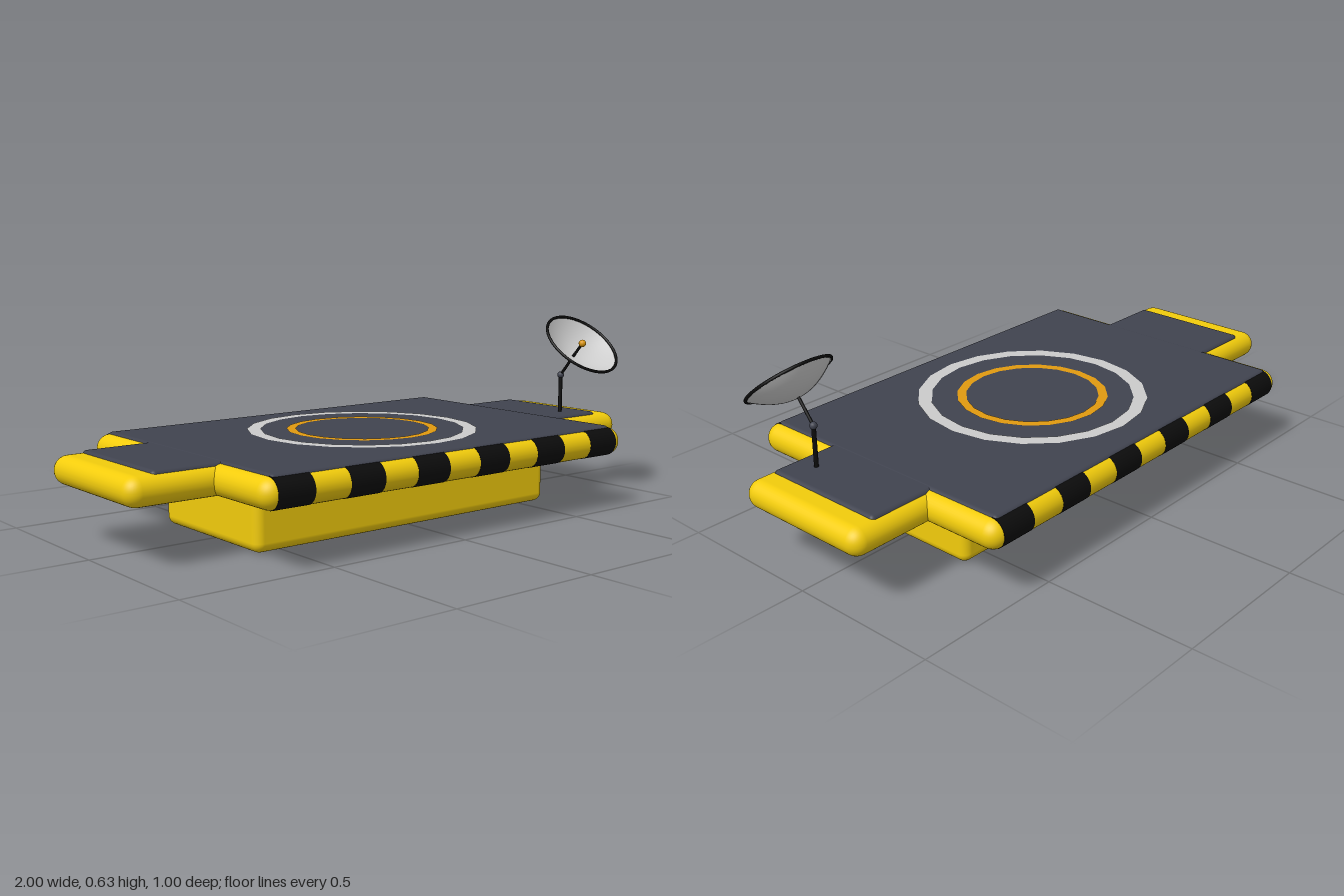
import * as THREE from 'three';
import { RoundedBoxGeometry } from 'three/addons/geometries/RoundedBoxGeometry.js';

const mat = (color, side = THREE.FrontSide) => new THREE.MeshStandardMaterial({ color, side });

export function createModel() {
  const model = new THREE.Group();
  model.name = 'landingPlatform';
  const yellow = mat(0xf2cc0c), slate = mat(0x40434f), black = mat(0x0c0c0c);
  const orange = mat(0xe09a10), grey = mat(0xcccccc, THREE.DoubleSide);

  const add = (name, geometry, material, x = 0, y = 0, z = 0, parent = model) => {
    const mesh = new THREE.Mesh(geometry, material);
    mesh.name = name;
    mesh.position.set(x, y, z);
    parent.add(mesh);
    return mesh;
  };
  // Rounded slab given by its width, depth and vertical extent
  const slab = (name, w, d, y0, y1, r, material) =>
    add(name, new RoundedBoxGeometry(w, y1 - y0, d, 4, r), material, 0, (y0 + y1) / 2, 0);
  // Straight rod between two points
  const rod = (name, a, b, r, material, parent = model) => {
    const dir = b.clone().sub(a);
    const m = add(name, new THREE.CylinderGeometry(r, r, dir.length(), 12), material, 0, 0, 0, parent);
    m.position.copy(a).add(b).multiplyScalar(0.5);
    m.quaternion.setFromUnitVectors(new THREE.Vector3(0, 1, 0), dir.normalize());
    return m;
  };

  // Hull: lower body, main deck and the cross deck forming both wings
  slab('lowerBody', 1.2, 0.52, 0, 0.24, 0.03, yellow);
  slab('mainDeck', 1.46, 1, 0.18, 0.275, 0.047, yellow);
  slab('wingDeck', 2, 0.49, 0.181, 0.272, 0.045, yellow);

  // Dark walking surface
  slab('mainDeckSurface', 1.38, 0.94, 0.24, 0.281, 0.015, slate);
  slab('wingDeckSurface', 1.82, 0.43, 0.24, 0.28, 0.015, slate);

  // Hazard stripes wrapped round the front and back edges
  for (const side of [1, -1]) {
    for (let i = 0; i < 6; i++) {
      const geo = new THREE.CylinderGeometry(0.0485, 0.0485, 0.125, 20, 1, false, 0, Math.PI);
      geo.rotateZ(Math.PI / 2).rotateX(0);
      // Half cylinder now bulges up; turn it to bulge outwards
      geo.rotateX(side * Math.PI / 2);
      add('hazardStripe', geo, black, -0.625 + i * 0.25, 0.2275, side * 0.4525);
    }
  }

  // Landing target rings
  const ring = (name, inner, outer, material) =>
    add(name, new THREE.RingGeometry(inner, outer, 20).rotateX(-Math.PI / 2), material, 0, 0.283, 0);
  ring('outerTargetRing', 0.335, 0.38, grey);
  ring('innerTargetRing', 0.22, 0.25, orange);

  // Antenna mast with ball joint and angled arm
  const joint = new THREE.Vector3(0.81, 0.413, 0.135);
  rod('mast', new THREE.Vector3(0.81, 0.27, 0.135), joint, 0.007, black);
  add('mastJoint', new THREE.SphereGeometry(0.012, 16, 12), slate, ...joint.toArray());
  rod('dishArm', joint, new THREE.Vector3(0.81, 0.487, 0.195), 0.005, black);

  // Dish tilted forwards: its rim centre is the group's origin
  const dish = new THREE.Group();
  dish.name = 'dish';
  dish.position.set(0.81, 0.531, 0.232);
  dish.rotation.x = 0.702;
  model.add(dish);
  const R = 0.139, depth = 0.06, profile = [];
  for (let i = 0; i <= 12; i++) {
    const t = i / 12;
    profile.push(new THREE.Vector2(R * t, depth * (t * t - 1)));
  }
  add('dishBowl', new THREE.LatheGeometry(profile, 40), grey, 0, 0, 0, dish);
  add('dishRim', new THREE.TorusGeometry(R, 0.005, 8, 40).rotateX(Math.PI / 2), black, 0, 0, 0, dish);
  rod('feedRod', new THREE.Vector3(0, -depth, 0), new THREE.Vector3(0, 0, 0), 0.005, black, dish);
  add('feedHorn', new THREE.SphereGeometry(0.013, 16, 12), orange, 0, 0.003, 0, dish);

  return model;
}
